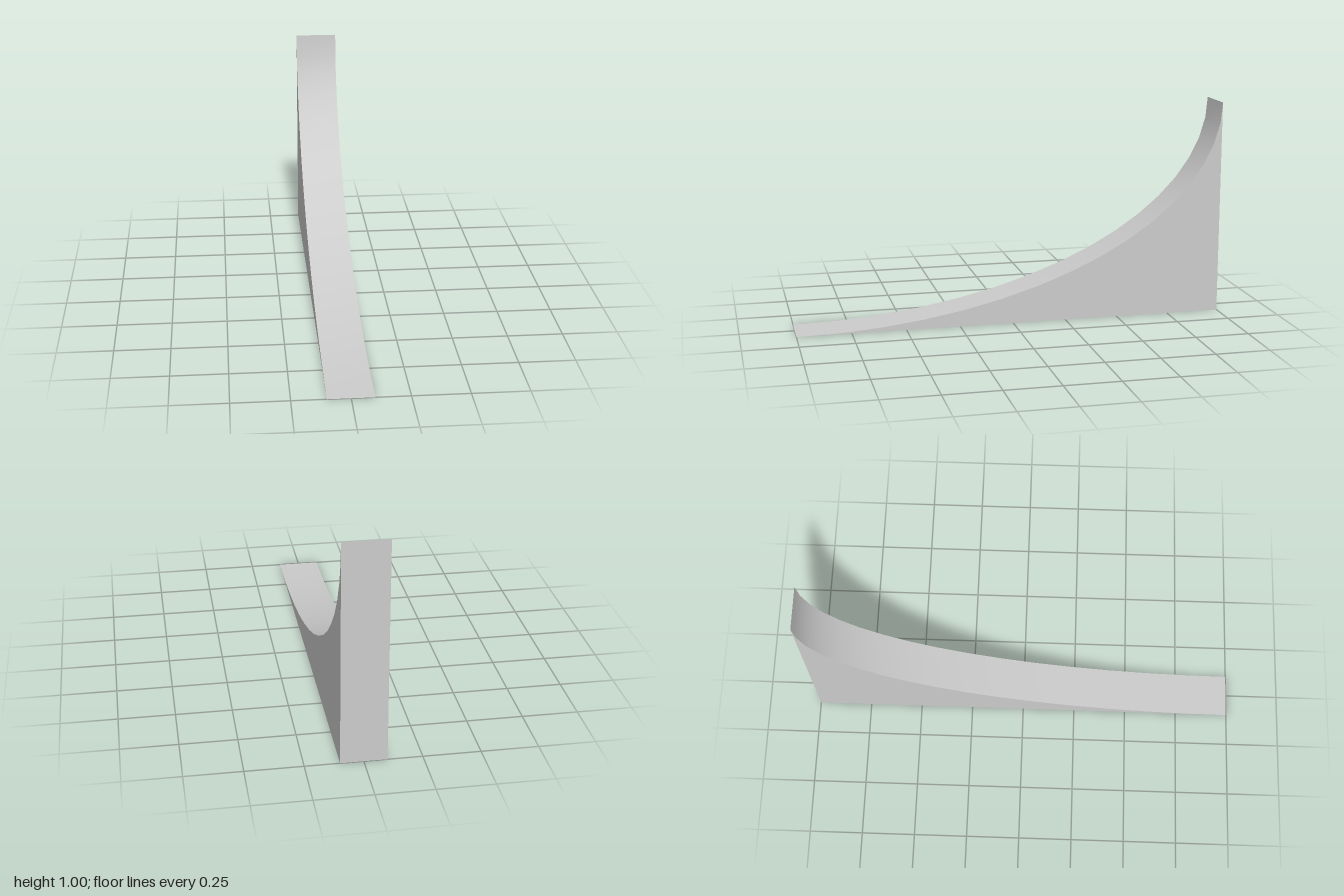
import * as THREE from 'three';
import { toCreasedNormals } from 'three/addons/utils/BufferGeometryUtils.js';

export function createModel() {
  const group = new THREE.Group();
  group.name = 'curvedRamp';
  const lightGrey = new THREE.MeshStandardMaterial({ color: 0xcccccc });
  lightGrey.name = 'lightGrey';

  // Side profile: flat base, upright back and a concave quarter ellipse
  const width = 0.2, segments = 16;
  const profile = new THREE.Shape();
  profile.moveTo(-1, 0);
  profile.lineTo(1, 0);
  for (let i = 1; i <= segments; i++) {
    const a = (i / segments) * Math.PI / 2;
    profile.lineTo(1 - 2 * Math.sin(a), 1 - Math.cos(a));
  }
  profile.closePath();

  // Sweep the profile across the width, with its length along z
  const geometry = new THREE.ExtrudeGeometry(profile, { depth: width, bevelEnabled: false });
  geometry.translate(0, 0, -width / 2);
  geometry.rotateY(-Math.PI / 2);

  const ramp = new THREE.Mesh(toCreasedNormals(geometry, 0.5), lightGrey);
  ramp.name = 'ramp';
  group.add(ramp);
  return group;
}
